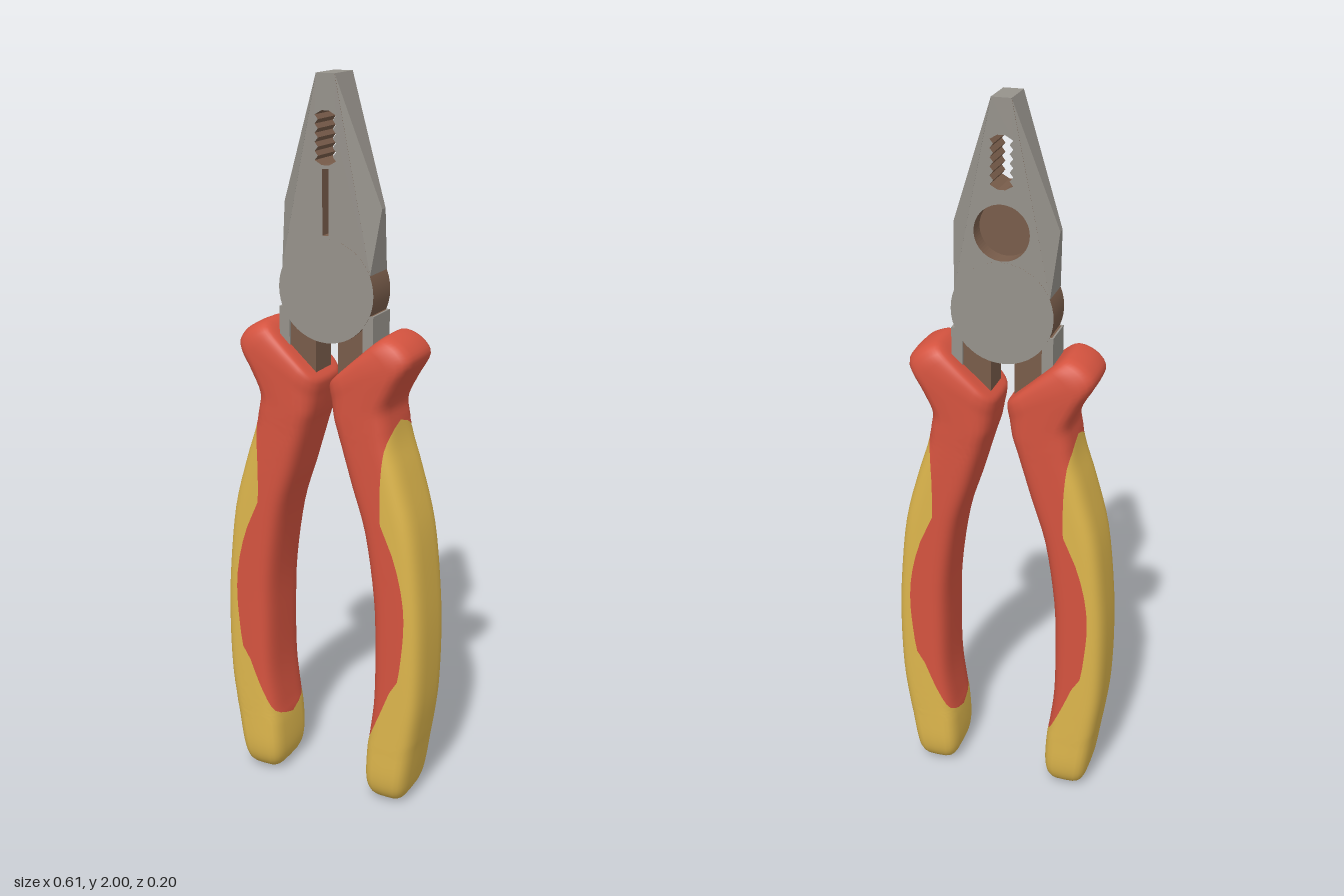
import * as THREE from 'three';
import { mergeVertices } from 'three/addons/utils/BufferGeometryUtils.js';
import { ConvexGeometry } from 'three/addons/geometries/ConvexGeometry.js';

const mat = (name, color) => new THREE.MeshStandardMaterial({ name, color });
const v3 = (x, y, z) => new THREE.Vector3(x, y, z);

// Handle stations: inner x, y, outer x, y, half depth, half angle covered by the yellow grip
const STATIONS = [
  [0.080, 1.272, 0.120, 1.308, 0.03, 0],
  [0.030, 1.228, 0.165, 1.350, 0.075, 0],
  [0.015, 1.210, 0.197, 1.352, 0.092, 0],
  [0.015, 1.190, 0.236, 1.330, 0.099, 0],
  [0.020, 1.165, 0.255, 1.293, 0.1, 0],
  [0.025, 1.140, 0.222, 1.232, 0.1, 0],
  [0.031, 1.115, 0.192, 1.170, 0.1, 0],
  [0.041, 1.085, 0.196, 1.120, 0.1, 0],
  [0.058, 1.030, 0.208, 1.060, 0.1, 0.95],
  [0.085, 0.940, 0.237, 0.970, 0.1, 1.48],
  [0.125, 0.810, 0.276, 0.820, 0.1, 1.57],
  [0.152, 0.630, 0.297, 0.630, 0.1, 1.39],
  [0.158, 0.480, 0.303, 0.480, 0.1, 1.48],
  [0.157, 0.330, 0.299, 0.330, 0.1, 1.67],
  [0.145, 0.220, 0.286, 0.220, 0.1, 2.25],
  [0.137, 0.170, 0.278, 0.170, 0.1, Math.PI],
  [0.133, 0.090, 0.266, 0.090, 0.099, Math.PI],
  [0.138, 0.040, 0.256, 0.040, 0.088, Math.PI],
  [0.155, 0.010, 0.240, 0.010, 0.063, Math.PI],
  [0.180, 0.000, 0.215, 0.000, 0.025, Math.PI],
];

// Rounded section lofted down the stations; ring vertices follow the colour border
function handleGeometry() {
  const inner = new THREE.CatmullRomCurve3(STATIONS.map(s => v3(s[0], s[1], s[4])), false, 'catmullrom');
  const outer = new THREE.CatmullRomCurve3(STATIONS.map(s => v3(s[2], s[3], s[5])), false, 'catmullrom');
  const rings = (STATIONS.length - 1) * 4, nRed = 12, nYellow = 24, n = nRed * 2 + nYellow;
  const pos = [], red = [], yellow = [], splits = [];
  const power = c => Math.sign(c) * Math.sqrt(Math.abs(c));
  for (let i = 0; i <= rings; i++) {
    const a = inner.getPoint(i / rings), b = outer.getPoint(i / rings);
    const s = THREE.MathUtils.clamp(b.z, 0, Math.PI);
    splits.push(s);
    for (let j = 0; j <= n; j++) {
      const t = j <= nRed ? -Math.PI + (Math.PI - s) * j / nRed
        : j <= nRed + nYellow ? -s + 2 * s * (j - nRed) / nYellow
        : s + (Math.PI - s) * (j - nRed - nYellow) / nRed;
      const k = (power(Math.cos(t)) + 1) / 2;
      pos.push(a.x + (b.x - a.x) * k, a.y + (b.y - a.y) * k, a.z * power(Math.sin(t)));
    }
  }
  const w = n + 1;
  for (let i = 0; i < rings; i++) for (let j = 0; j < n; j++) {
    const isYellow = j >= nRed && j < nRed + nYellow;
    const s = [splits[i], splits[i + 1]];
    if (s.every(q => (isYellow ? q < 1e-4 : q > Math.PI - 1e-4))) continue;
    const a = i * w + j, c = a + w;
    (isYellow ? yellow : red).push(a, a + 1, c, a + 1, c + 1, c);
  }
  // End caps
  const [f, l] = [STATIONS[0], STATIONS[STATIONS.length - 1]];
  const top = pos.length / 3;
  pos.push((f[0] + f[2]) / 2, (f[1] + f[3]) / 2, 0, (l[0] + l[2]) / 2, (l[1] + l[3]) / 2, 0);
  for (let j = 0; j < n; j++) {
    if (j < nRed || j >= nRed + nYellow) red.push(top, j + 1, j);
    else yellow.push(top + 1, rings * w + j, rings * w + j + 1);
  }
  let g = new THREE.BufferGeometry();
  g.setAttribute('position', new THREE.Float32BufferAttribute(pos, 3));
  g.setIndex([...red, ...yellow]);
  g = mergeVertices(g, 1e-5);
  g.clearGroups();
  g.addGroup(0, red.length, 0);
  g.addGroup(red.length, yellow.length, 1);
  g.computeVertexNormals();
  return g;
}

// Toothed opening between the jaws
function gripHole() {
  const right = [], steps = 12;
  for (let i = 0; i <= steps; i++) {
    const x = i === 0 || i === steps ? 0.01 : i % 2 ? 0.03 : 0.021;
    right.push(new THREE.Vector2(x, 1.775 + 0.135 * i / steps));
  }
  const left = right.map(p => new THREE.Vector2(-p.x, p.y)).reverse();
  return new THREE.Path([...right, ...left]);
}

function rectPath(x, y0, y1) {
  return new THREE.Path([[-x, y0], [x, y0], [x, y1], [-x, y1]].map(p => new THREE.Vector2(...p)));
}

export function createModel() {
  const group = new THREE.Group();
  const metal = mat('steel', 0x96928b), brown = mat('dark steel', 0x785c4a);
  const red = mat('red grip', 0xd4533f), yellow = mat('yellow grip', 0xdcb54c);
  const add = (name, geometry, material, x = 0, y = 0, z = 0) => {
    const m = new THREE.Mesh(geometry, material);
    m.name = name;
    m.position.set(x, y, z);
    group.add(m);
    return m;
  };

  // Jaws: a front layer with the cutter slit and a back layer with the round recess
  const jawLayer = (name, opening, z) => {
    const shape = new THREE.Shape([[-0.127, 1.505], [0.127, 1.505], [0.026, 1.998], [-0.026, 1.998]]
      .map(p => new THREE.Vector2(...p)));
    shape.holes.push(gripHole(), opening);
    const g = new THREE.ExtrudeGeometry(shape, { depth: 0.05, bevelEnabled: false, curveSegments: 32 });
    add(name, g, [metal, brown], 0, 0, z);
  };
  const recess = new THREE.Path().absarc(0, 1.665, 0.073, 0, Math.PI * 2);
  jawLayer('frontJawLayer', rectPath(0.009, 1.597, 1.766), 0);
  jawLayer('backJawLayer', recess, -0.05);
  add('recessFloor', new THREE.CylinderGeometry(0.073, 0.073, 0.006, 32).rotateX(Math.PI / 2), brown, 0, 1.665, 0);
  add('slitFloor', new THREE.BoxGeometry(0.018, 0.169, 0.006), brown, 0, 1.6815, 0);
  add('jawTip', new THREE.BoxGeometry(0.052, 0.004, 0.1), metal, 0, 1.998, 0);

  // Pivot disc
  add('pivotDisc', new THREE.CylinderGeometry(0.137, 0.137, 0.101, 48).rotateX(Math.PI / 2),
    [brown, metal, metal], 0, 1.452, 0);

  const handle = handleGeometry();
  for (const side of [1, -1]) {
    const label = side > 0 ? 'left' : 'right';
    // Faceted outer flank of the jaw
    const points = [];
    for (const z of [1, -1]) {
      points.push(v3(side * 0.026, 2, z * 0.05), v3(side * 0.14, 1.67, z * 0.01), v3(side * 0.127, 1.505, z * 0.05));
    }
    add(label + 'JawFlank', new ConvexGeometry(points), metal);
    // Shank running into the handle
    add(label + 'Shank', new THREE.BoxGeometry(0.1, 0.2, 0.086), brown, side * 0.082, 1.3, 0);
    add(label + 'ShankRib', new THREE.BoxGeometry(0.03, 0.14, 0.1), metal, side * 0.122, 1.33, 0);
    // The section is symmetric in z, so a half turn mirrors the handle
    add(label + 'Handle', handle, [red, yellow]).rotation.y = side > 0 ? 0 : Math.PI;
  }
  return group;
}
